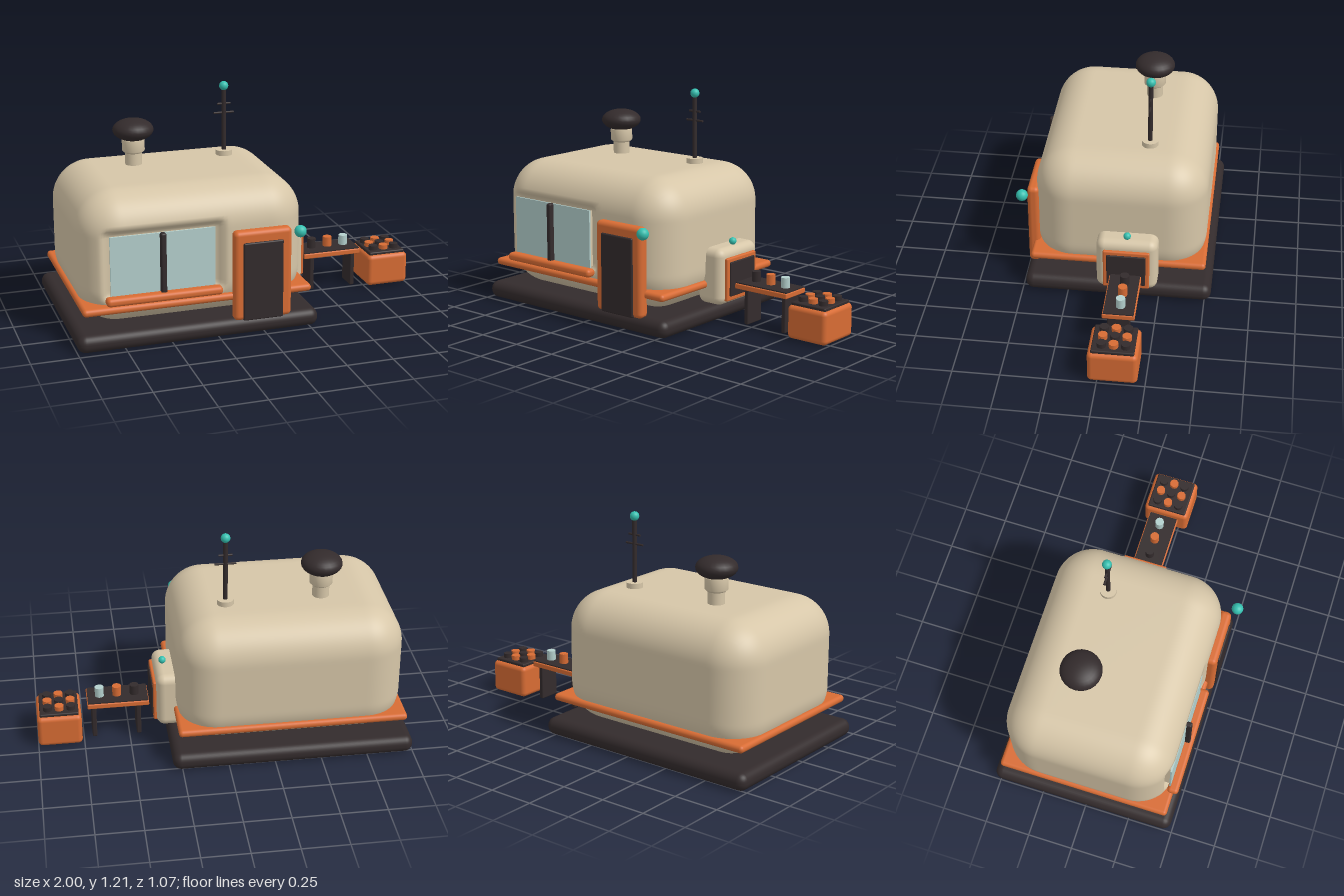
import * as THREE from 'three';
import { RoundedBoxGeometry } from 'three/addons/geometries/RoundedBoxGeometry.js';
import { mergeVertices } from 'three/addons/utils/BufferGeometryUtils.js';

const paint = (name, color) => Object.assign(new THREE.MeshStandardMaterial({ color }), { name });

export function createModel() {
  const cream = paint('cream', 0xd6c6a8);
  const orange = paint('orange', 0xd86c34);
  const dark = paint('charcoal', 0x332b2c);
  const glass = paint('pale glass', 0xb4d0cd);
  const teal = paint('teal', 0x35c0b0);

  const model = new THREE.Group();
  model.name = 'foodCabin';

  const add = (name, geometry, material, x, y, z) => {
    const mesh = new THREE.Mesh(geometry, material);
    mesh.name = name;
    mesh.position.set(x, y, z);
    model.add(mesh);
    return mesh;
  };
  // Box given by its [min, max] extents; r > 0 rounds the edges
  const box = (name, material, [x0, x1], [y0, y1], [z0, z1], r = 0) => {
    const w = x1 - x0, h = y1 - y0, d = z1 - z0;
    const geometry = r ? new RoundedBoxGeometry(w, h, d, 4, r) : new THREE.BoxGeometry(w, h, d);
    return add(name, geometry, material, (x0 + x1) / 2, (y0 + y1) / 2, (z0 + z1) / 2);
  };
  const ball = (name, material, r, x, y, z) =>
    add(name, new THREE.SphereGeometry(r, 24, 16), material, x, y, z);
  const cylinder = (name, material, r, y0, y1, x, z, sides = 24) =>
    add(name, new THREE.CylinderGeometry(r, r, y1 - y0, sides), material, x, (y0 + y1) / 2, z);

  // Cabin shell: rounded box with a shallow window recess pressed into the front
  const size = new THREE.Vector3(1.21, 0.71, 0.93);
  const centre = new THREE.Vector3(-0.35, 0.445, -0.025);
  const radius = 0.21;
  let shell = new THREE.BoxGeometry(size.x, size.y, size.z, 60, 40, 46);
  shell.deleteAttribute('uv');
  shell.deleteAttribute('normal');
  shell = mergeVertices(shell);
  const limit = size.clone().multiplyScalar(0.5).subScalar(radius);
  const p = new THREE.Vector3(), core = new THREE.Vector3();
  const fade = (v, lo, hi, soft) =>
    THREE.MathUtils.smoothstep(v, lo - soft, lo) * (1 - THREE.MathUtils.smoothstep(v, hi, hi + soft));
  const points = shell.attributes.position;
  for (let i = 0; i < points.count; i++) {
    p.fromBufferAttribute(points, i);
    core.copy(p).clamp(limit.clone().negate(), limit);
    p.sub(core).setLength(radius).add(core).add(centre);
    if (p.z > 0.2) {
      const recess = fade(p.x, -0.82, -0.25, 0.05) * fade(p.y, 0.28, 0.6, 0.04);
      p.z = THREE.MathUtils.lerp(p.z, Math.min(p.z, 0.395), recess);
    }
    points.setXYZ(i, p.x, p.y, p.z);
  }
  shell.computeVertexNormals();
  add('cabinShell', shell, cream, 0, 0, 0);

  // Base and belt
  box('base', dark, [-1, 0.3], [0, 0.095], [-0.535, 0.485], 0.045);
  box('belt', orange, [-0.965, 0.265], [0.19, 0.23], [-0.5, 0.455], 0.0195);

  // Front window
  box('windowPane', glass, [-0.815, -0.26], [0.28, 0.6], [0.426, 0.435]);
  box('windowBacking', cream, [-0.8, -0.275], [0.285, 0.59], [0.38, 0.426]);
  box('windowMullion', dark, [-0.555, -0.525], [0.275, 0.602], [0.425, 0.463], 0.01);
  box('windowSill', orange, [-0.845, -0.23], [0.24, 0.285], [0.42, 0.482], 0.02);

  // Door with bell
  box('doorFrame', orange, [-0.172, 0.143], [0.083, 0.572], [0.42, 0.486], 0.025);
  box('doorPanel', dark, [-0.125, 0.092], [0.085, 0.512], [0.46, 0.496], 0.008);
  ball('doorLamp', teal, 0.032, 0.178, 0.553, 0.505);

  // Chimney
  cylinder('chimneyPipe', cream, 0.045, 0.78, 0.88, -0.54, -0.14);
  const collar = [[0, 0], [0.048, 0], [0.061, 0.012], [0.061, 0.07], [0.055, 0.08], [0, 0.08]];
  add('chimneyCollar', new THREE.LatheGeometry(collar.map(([x, y]) => new THREE.Vector2(x, y)), 24),
    cream, -0.54, 0.865, -0.14);
  ball('chimneyCap', dark, 0.11, -0.54, 0.99, -0.14).scale.y = 0.54;

  // Antenna
  const ax = -0.025, az = -0.165;
  cylinder('antennaFoot', cream, 0.045, 0.78, 0.828, ax, az);
  cylinder('antennaMast', dark, 0.0125, 0.82, 1.18, ax, az, 12);
  for (const [y, half] of [[1.035, 0.056], [1.085, 0.037]])
    cylinder('antennaBar', dark, 0.006, y - half, y + half, ax, az, 8).rotation.z = Math.PI / 2;
  ball('antennaTip', teal, 0.025, ax, 1.184, az);

  // Serving hatch on the side
  box('hatchHousing', cream, [0.19, 0.355], [0.1, 0.41], [-0.245, 0.085], 0.045);
  box('hatchFrame', orange, [0.34, 0.371], [0.125, 0.36], [-0.205, 0.045], 0.008);
  box('hatchOpening', dark, [0.36, 0.379], [0.15, 0.338], [-0.185, 0.025], 0.005);
  ball('hatchLamp', teal, 0.02, 0.308, 0.426, -0.08);

  // Counter with cups
  box('counterSlab', orange, [0.39, 0.725], [0.195, 0.224], [-0.166, 0.006], 0.006);
  box('counterTop', dark, [0.394, 0.721], [0.222, 0.23], [-0.16, 0]);
  for (const x of [0.447, 0.69])
    box('counterLeg', dark, [x - 0.0125, x + 0.0125], [0, 0.2], [-0.14, -0.02], 0.006);
  [dark, orange, glass].forEach((material, i) =>
    cylinder('cup', material, 0.025, 0.228, 0.285, 0.465 + i * 0.095, -0.085, 10));

  // Crate with a grid of bottles
  box('crate', orange, [0.76, 1], [0.005, 0.185], [-0.21, 0.05], 0.025);
  box('crateTop', dark, [0.775, 0.985], [0.18, 0.2], [-0.192, 0.032], 0.007);
  for (let i = 0; i < 3; i++)
    for (let j = 0; j < 3; j++)
      cylinder('bottle', (i + j) % 2 ? orange : dark, 0.025, 0.195, 0.225,
        0.815 + i * 0.0625, -0.145 + j * 0.0625, 10);

  return model;
}
